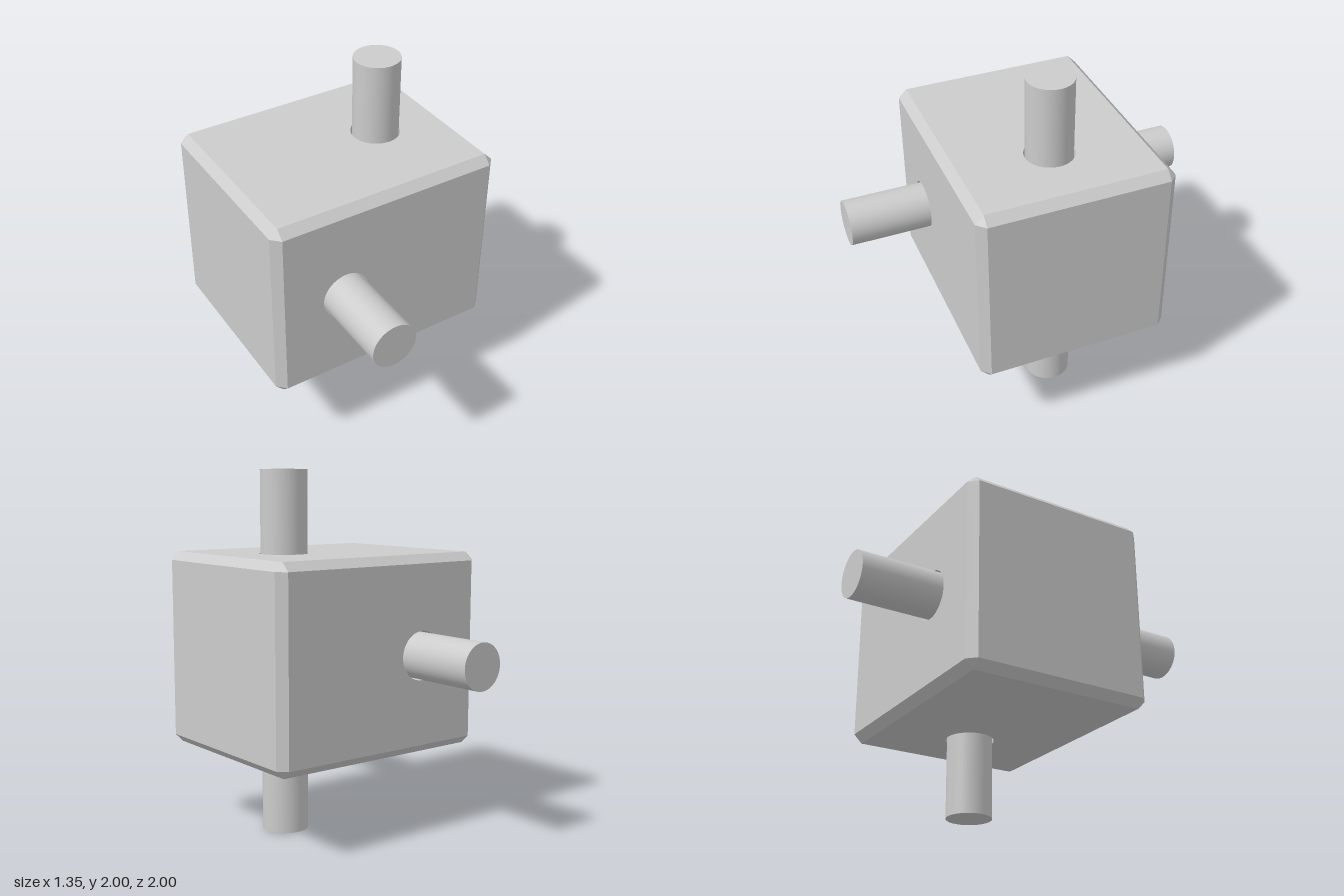
import * as THREE from 'three';
import { mergeGeometries } from 'three/addons/utils/BufferGeometryUtils.js';

const HX = 0.675, H = 0.547, C = 0.047; // half width, half height/depth, chamfer
const ROD_R = 0.128, BORE_R = 0.136, OFFSET = 0.262, SEGMENTS = 64;

// Flat convex polygon, wound so that it faces away from the origin
function facet(points) {
  const [a, b, c] = points;
  const normal = b.clone().sub(a).cross(c.clone().sub(a));
  const p = normal.dot(a) < 0 ? [...points].reverse() : points;
  const corners = [];
  for (let i = 1; i < p.length - 1; i++) corners.push(p[0], p[i], p[i + 1]);
  const g = new THREE.BufferGeometry().setFromPoints(corners);
  g.computeVertexNormals();
  return g;
}

// Rectangular face with a round hole, turned about x to one of the four long sides
function boredFace(quarter) {
  const w = HX - C, h = H - C;
  const shape = new THREE.Shape([[-w, -h], [w, -h], [w, h], [-w, h]].map(([x, y]) => new THREE.Vector2(x, y)));
  shape.holes.push(new THREE.Path().absarc(quarter % 2 ? OFFSET : -OFFSET, 0, BORE_R, 0, Math.PI * 2, true));
  const g = new THREE.ShapeGeometry(shape, SEGMENTS).toNonIndexed();
  g.deleteAttribute('uv');
  return g.translate(0, 0, H).rotateX(quarter * Math.PI / 2);
}

// Chamfered block: four bored faces, two plain ends, bevel strips and corner triangles
function blockGeometry() {
  const half = [HX, H, H];
  // Corner point lying on the face perpendicular to the given axis
  const corner = (signs, axis) =>
    new THREE.Vector3(...signs.map((s, i) => s * (half[i] - (i === axis ? 0 : C))));
  const parts = [0, 1, 2, 3].map(boredFace);
  const S = [-1, 1];
  for (const sx of S) {
    parts.push(facet([[-1, -1], [1, -1], [1, 1], [-1, 1]].map(([y, z]) => corner([sx, y, z], 0))));
    for (const sy of S) for (const sz of S) {
      parts.push(facet([0, 1, 2].map((axis) => corner([sx, sy, sz], axis))));
    }
  }
  for (let along = 0; along < 3; along++) {
    const u = (along + 1) % 3, v = (along + 2) % 3;
    for (const su of S) for (const sv of S) {
      const at = (s, axis) => {
        const signs = [];
        signs[along] = s; signs[u] = su; signs[v] = sv;
        return corner(signs, axis);
      };
      parts.push(facet([at(-1, u), at(1, u), at(1, v), at(-1, v)]));
    }
  }
  return mergeGeometries(parts);
}

export function createModel() {
  const model = new THREE.Group();
  model.name = 'blockWithCrossingRods';
  const grey = new THREE.MeshStandardMaterial({ color: 0xcccccc });
  const inner = new THREE.MeshStandardMaterial({ color: 0xcccccc, side: THREE.BackSide });

  const add = (name, geometry, material) => {
    const mesh = new THREE.Mesh(geometry, material);
    mesh.name = name;
    mesh.position.y = 1;
    model.add(mesh);
    return mesh;
  };

  add('block', blockGeometry(), grey);

  // Two rods running loosely through their bores
  for (const [name, x, tilt] of [['vertical', OFFSET, 0], ['horizontal', -OFFSET, Math.PI / 2]]) {
    const rod = add(name + 'Rod', new THREE.CylinderGeometry(ROD_R, ROD_R, 2, SEGMENTS), grey);
    const bore = add(name + 'Bore', new THREE.CylinderGeometry(BORE_R, BORE_R, 2 * H, SEGMENTS, 1, true), inner);
    for (const part of [rod, bore]) {
      part.position.x = x;
      part.rotation.x = tilt;
    }
  }
  return model;
}
